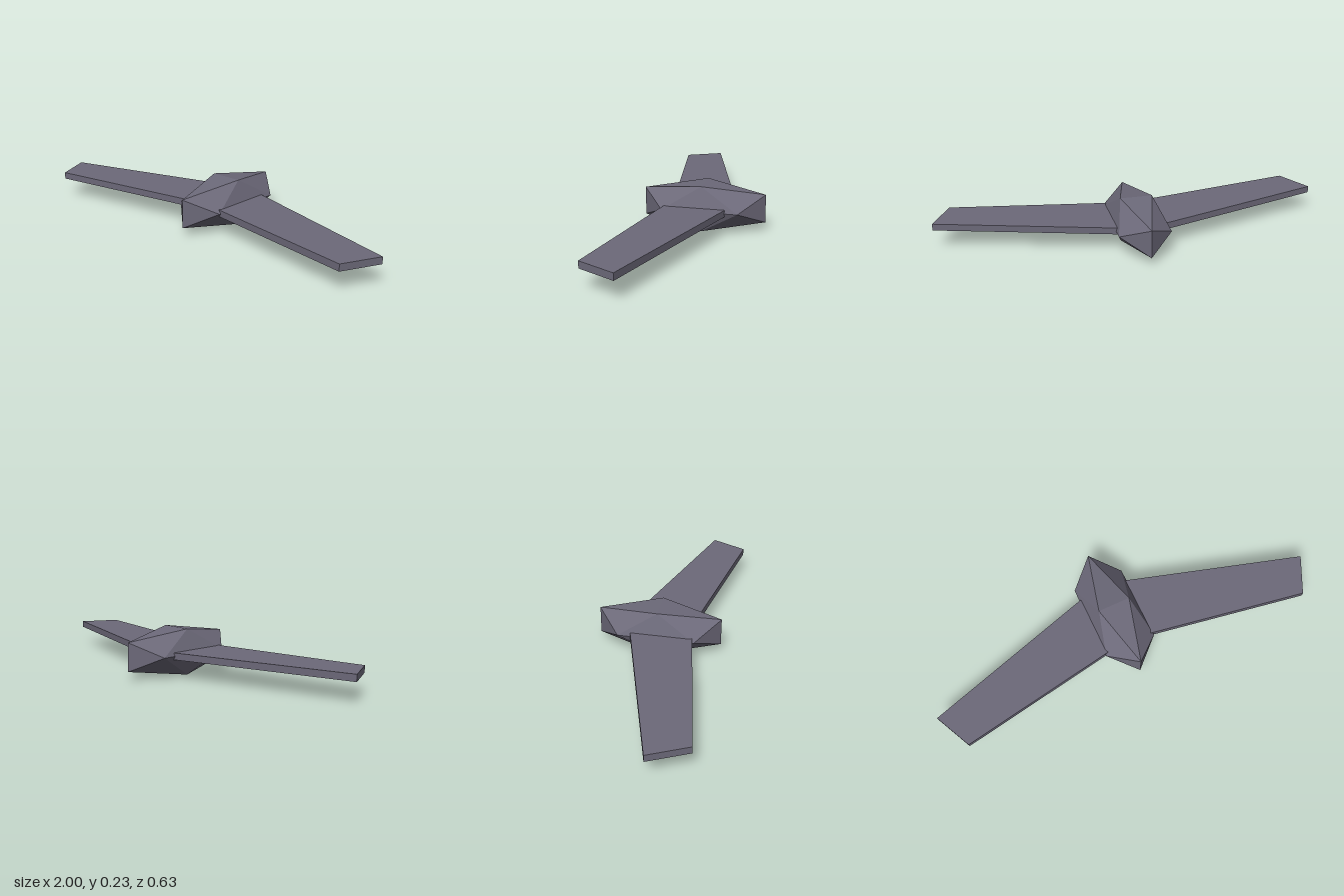
import * as THREE from 'three';

export function createModel() {
  const model = new THREE.Group();
  const slate = new THREE.MeshStandardMaterial({ color: 0x6c6979, flatShading: true });
  slate.name = 'slate';

  // Faceted body: a stretched icosahedron
  const body = new THREE.Mesh(new THREE.IcosahedronGeometry(1, 0), slate);
  body.name = 'body';
  body.scale.set(0.155, 0.136, 0.364);
  body.position.set(0, 0.117, -0.004);
  model.add(body);

  // Swept flat wings, mirrored; outline points are [x, z], the root sits inside the body
  const outline = [[0.05, -0.154], [1, 0.13], [0.91, 0.313], [0.05, 0.166]];
  const thickness = 0.034;
  for (const side of [1, -1]) {
    const shape = new THREE.Shape(outline.map(([x, z]) => new THREE.Vector2(side * x, -z)));
    const geometry = new THREE.ExtrudeGeometry(shape, { depth: thickness, bevelEnabled: false });
    geometry.rotateX(-Math.PI / 2);
    const wing = new THREE.Mesh(geometry, slate);
    wing.name = side > 0 ? 'leftWing' : 'rightWing';
    wing.position.y = 0.1;
    model.add(wing);
  }

  return model;
}
